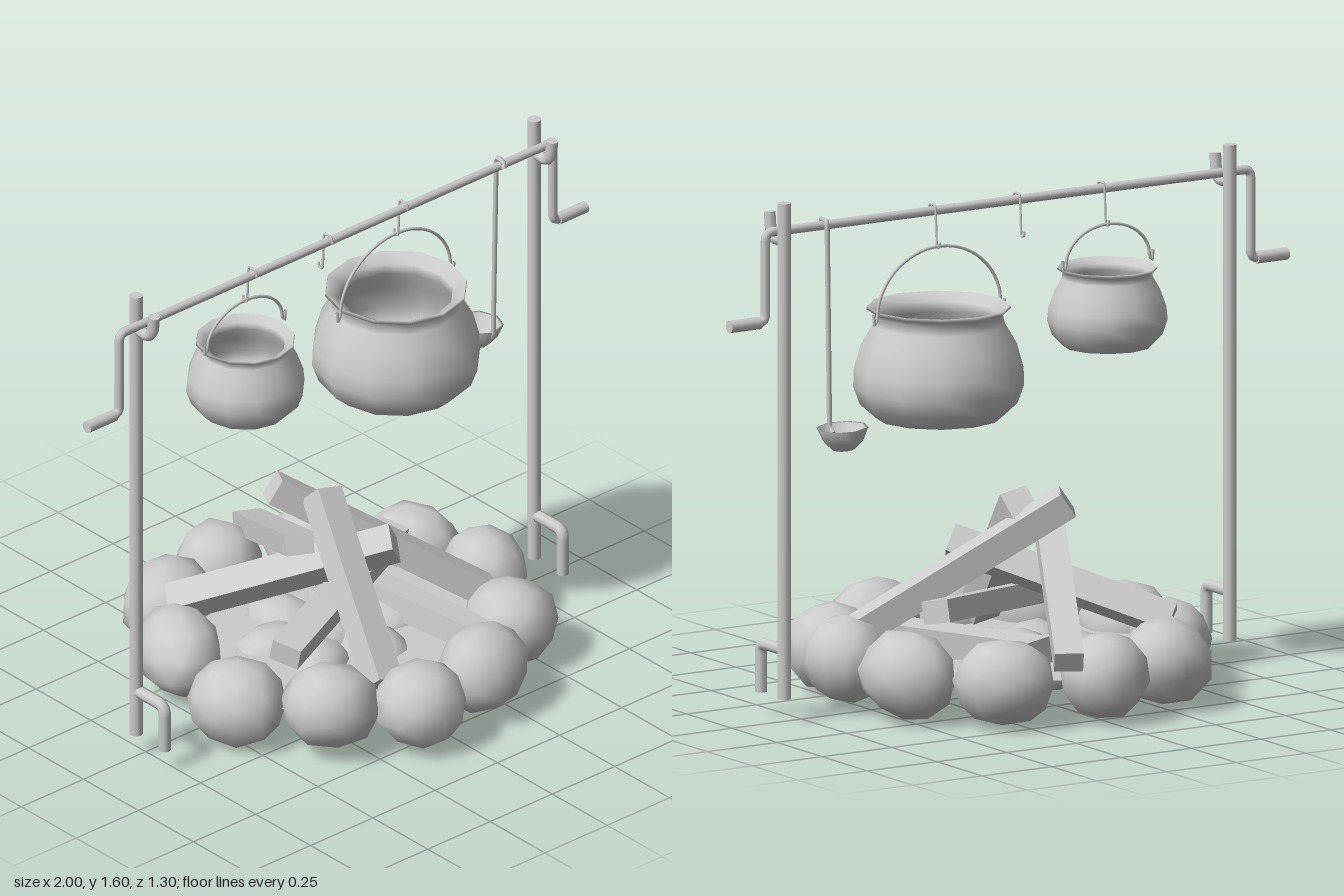
import * as THREE from 'three';
import { mergeVertices } from 'three/addons/utils/BufferGeometryUtils.js';

const mat = new THREE.MeshStandardMaterial({ color: 0xcccccc });
const thin = new THREE.MeshStandardMaterial({ color: 0xcccccc, side: THREE.DoubleSide });
const V = (p) => new THREE.Vector3(...p);

export function createModel() {
  const model = new THREE.Group();
  const add = (name, geo, material = mat) => {
    const m = new THREE.Mesh(geo, material);
    m.name = name;
    model.add(m);
    return m;
  };

  let seed = 7;
  const rand = () => (seed = (seed * 16807) % 2147483647) / 2147483647;

  // Straight bar between two points
  const rod = (name, a, b, r) => {
    const d = V(b).sub(V(a));
    const m = add(name, new THREE.CylinderGeometry(r, r, d.length(), 10));
    m.position.copy(V(a)).addScaledVector(d, 0.5);
    m.quaternion.setFromUnitVectors(new THREE.Vector3(0, 1, 0), d.normalize());
  };

  // Bar bent through points, with rounded corners and closed ends
  const bent = (name, pts, r, bend, sides = 8) => {
    const p = pts.map(V);
    const path = new THREE.CurvePath();
    let from = p[0];
    for (let i = 1; i < p.length - 1; i++) {
      const a = p[i].clone().add(p[i - 1].clone().sub(p[i]).setLength(bend));
      const b = p[i].clone().add(p[i + 1].clone().sub(p[i]).setLength(bend));
      path.add(new THREE.LineCurve3(from, a));
      path.add(new THREE.QuadraticBezierCurve3(a, p[i], b));
      from = b;
    }
    path.add(new THREE.LineCurve3(from, p[p.length - 1]));
    add(name, new THREE.TubeGeometry(path, 40, r, sides), thin);
    for (const [end, next] of [[p[0], p[1]], [p[p.length - 1], p[p.length - 2]]]) {
      const cap = add(name + 'Cap', new THREE.CircleGeometry(r, sides));
      cap.position.copy(end);
      cap.lookAt(end.clone().multiplyScalar(2).sub(next));
    }
  };

  // Posts with a cradle hook near the top and a foot peg near the ground
  for (const [side, x] of [['right', -0.78], ['left', 0.818]]) {
    rod(side + 'Post', [x, 0.08, -0.01], [x, 1.605, -0.01], 0.021);
    bent(side + 'Cradle', [[x, 1.49, -0.01], [x, 1.485, 0.045], [x, 1.51, 0.066], [x, 1.565, 0.072]], 0.018, 0.016);
    bent(side + 'FootPeg', [[x, 0.23, -0.01], [x, 0.23, 0.12], [x, 0.08, 0.12]], 0.019, 0.03);
  }

  // Crossbar with a crank at each end
  const barZ = 0.015;
  rod('crossbar', [-0.83, 1.515, barZ], [0.83, 1.515, barZ], 0.014);
  for (const s of [-1, 1]) {
    bent(s < 0 ? 'rightCrank' : 'leftCrank', [[s * 0.8, 1.515, barZ], [s * 0.87, 1.515, barZ], [s * 0.87, 1.24, barZ], [s * 0.97, 1.24, barZ]], 0.0145, 0.025);
    rod('crankGrip', [s * 0.89, 1.24, barZ], [s, 1.24, barZ], 0.019);
  }

  // Hooks hanging over the crossbar
  for (const x of [-0.333, -0.03, 0.273]) {
    bent('hook', [[x, 1.515, 0.032], [x, 1.535, 0.028], [x, 1.535, -0.005], [x, 1.408, -0.012], [x, 1.408, -0.028], [x, 1.425, -0.03]], 0.004, 0.007, 6);
  }

  // Cooking pots: outer wall, flared rim and inner wall in one profile
  const pot = (name, x, y, profile, handleR, handleY) => {
    const m = add(name, new THREE.LatheGeometry(profile.map((q) => new THREE.Vector2(...q)), 12), thin);
    m.position.set(x, y, -0.018);
    const pts = [[x - handleR - 0.012, handleY + 0.015, -0.02], [x - handleR - 0.008, handleY - 0.018, -0.02]];
    for (let i = 0; i <= 14; i++) {
      const a = Math.PI * (1 - i / 14);
      pts.push([x + handleR * Math.cos(a), handleY + (1.412 - handleY) * Math.sin(a), -0.02]);
    }
    pts.push([x + handleR + 0.008, handleY - 0.018, -0.02], [x + handleR + 0.012, handleY + 0.015, -0.02]);
    add(name + 'Handle', new THREE.TubeGeometry(new THREE.CatmullRomCurve3(pts.map(V)), 48, 0.005, 6), thin);
  };
  pot('largePot', 0.27, 0.878, [[0, 0], [0.12, 0], [0.19, 0.008], [0.238, 0.05], [0.258, 0.105], [0.256, 0.16], [0.235, 0.235], [0.2, 0.295], [0.192, 0.325],
    [0.218, 0.342], [0.216, 0.352], [0.175, 0.328], [0.175, 0.295], [0.215, 0.225], [0.236, 0.15], [0.235, 0.1], [0.18, 0.02], [0, 0.02]], 0.222, 1.21);
  pot('smallPot', -0.335, 1.032, [[0, 0], [0.085, 0], [0.135, 0.007], [0.167, 0.04], [0.182, 0.085], [0.178, 0.125], [0.158, 0.18], [0.138, 0.215], [0.135, 0.232],
    [0.152, 0.242], [0.15, 0.25], [0.122, 0.232], [0.12, 0.212], [0.142, 0.17], [0.163, 0.115], [0.163, 0.08], [0.12, 0.015], [0, 0.015]], 0.15, 1.3);

  // Ladle
  bent('ladleHandle', [[0.655, 1.515, 0.036], [0.66, 1.535, 0.03], [0.665, 1.53, -0.01], [0.666, 0.9, -0.025], [0.666, 0.885, -0.045]], 0.008, 0.009, 6);
  const bowl = add('ladleBowl', new THREE.LatheGeometry([[0, 0], [0.035, 0.004], [0.062, 0.03], [0.08, 0.072], [0.071, 0.071], [0.054, 0.035], [0.03, 0.013], [0, 0.01]].map((q) => new THREE.Vector2(...q)), 8), thin);
  bowl.position.set(0.663, 0.842, -0.098);
  bowl.rotation.z = -0.06;

  // Rounded, slightly lumpy stone
  const stone = (name, x, y, z, sx, sy, sz, turn) => {
    let g = new THREE.IcosahedronGeometry(1, 1);
    g.deleteAttribute('uv');
    g.deleteAttribute('normal');
    g = mergeVertices(g, 1e-3);
    const p = g.attributes.position;
    for (let i = 0; i < p.count; i++) {
      const k = 0.97 + rand() * 0.1;
      p.setXYZ(i, p.getX(i) * k * sx, p.getY(i) * k * sy, p.getZ(i) * k * sz);
    }
    g.computeVertexNormals();
    const m = add(name, g);
    m.position.set(x, y, z);
    m.rotation.set(0, turn, (rand() - 0.5) * 0.4);
  };

  // Ring of stones: x, z, height of centre, half width along and across the ring
  const ring = [
    [0, -0.52, 0.15, 0.135, 0.132], [0.3, -0.425, 0.145, 0.155, 0.132], [0.51, -0.215, 0.155, 0.155, 0.122], [0.565, 0.05, 0.165, 0.14, 0.125],
    [0.44, 0.31, 0.145, 0.15, 0.142], [0.175, 0.485, 0.16, 0.16, 0.13], [-0.1, 0.51, 0.15, 0.14, 0.135], [-0.335, 0.365, 0.17, 0.15, 0.13],
    [-0.49, 0.12, 0.14, 0.155, 0.14], [-0.44, -0.2, 0.155, 0.165, 0.125], [-0.265, -0.45, 0.15, 0.155, 0.138],
  ];
  for (const [x, z, y, along, across] of ring) {
    stone('ringStone', x, y, z, along, 0.132, across, Math.atan2(x, z));
  }

  // Fire bed and its inner stones
  const bed = add('fireBed', new THREE.CircleGeometry(0.49, 24), thin);
  bed.rotation.x = -Math.PI / 2;
  bed.position.y = 0.14;
  stone('innerStone', 0, 0.125, -0.02, 0.12, 0.08, 0.11, 0.4);
  for (let i = 0; i < 6; i++) {
    const a = (i / 6) * Math.PI * 2 + 0.3;
    stone('innerStone', 0.19 * Math.cos(a), 0.115, 0.16 * Math.sin(a) - 0.02, 0.125, 0.075, 0.1, -a);
  }

  // Split logs: lower end, upper end, width, thickness, roll
  const logs = [
    [[0.16, 0.215, -0.57], [-0.15, 0.51, 0.02], 0.088, 0.066, 0],
    [[-0.14, 0.18, 0.39], [0.0, 0.6, -0.05], 0.09, 0.09, 0.3],
    [[0.44, 0.2, 0.2], [-0.1, 0.61, -0.16], 0.085, 0.085, 0.15],
    [[-0.37, 0.24, -0.32], [0.125, 0.46, 0.14], 0.09, 0.09, 0.55],
    [[-0.35, 0.27, 0.18], [0.34, 0.31, -0.11], 0.095, 0.07, 0.2],
    [[0.28, 0.17, 0.36], [0.14, 0.21, -0.38], 0.09, 0.08, 0.1],
  ];
  for (const [a, b, w, h, roll] of logs) {
    const m = add('log', new THREE.BoxGeometry(w, h, V(a).distanceTo(V(b))));
    m.position.copy(V(a)).add(V(b)).multiplyScalar(0.5);
    m.lookAt(V(b));
    m.rotateZ(roll);
  }
  return model;
}
